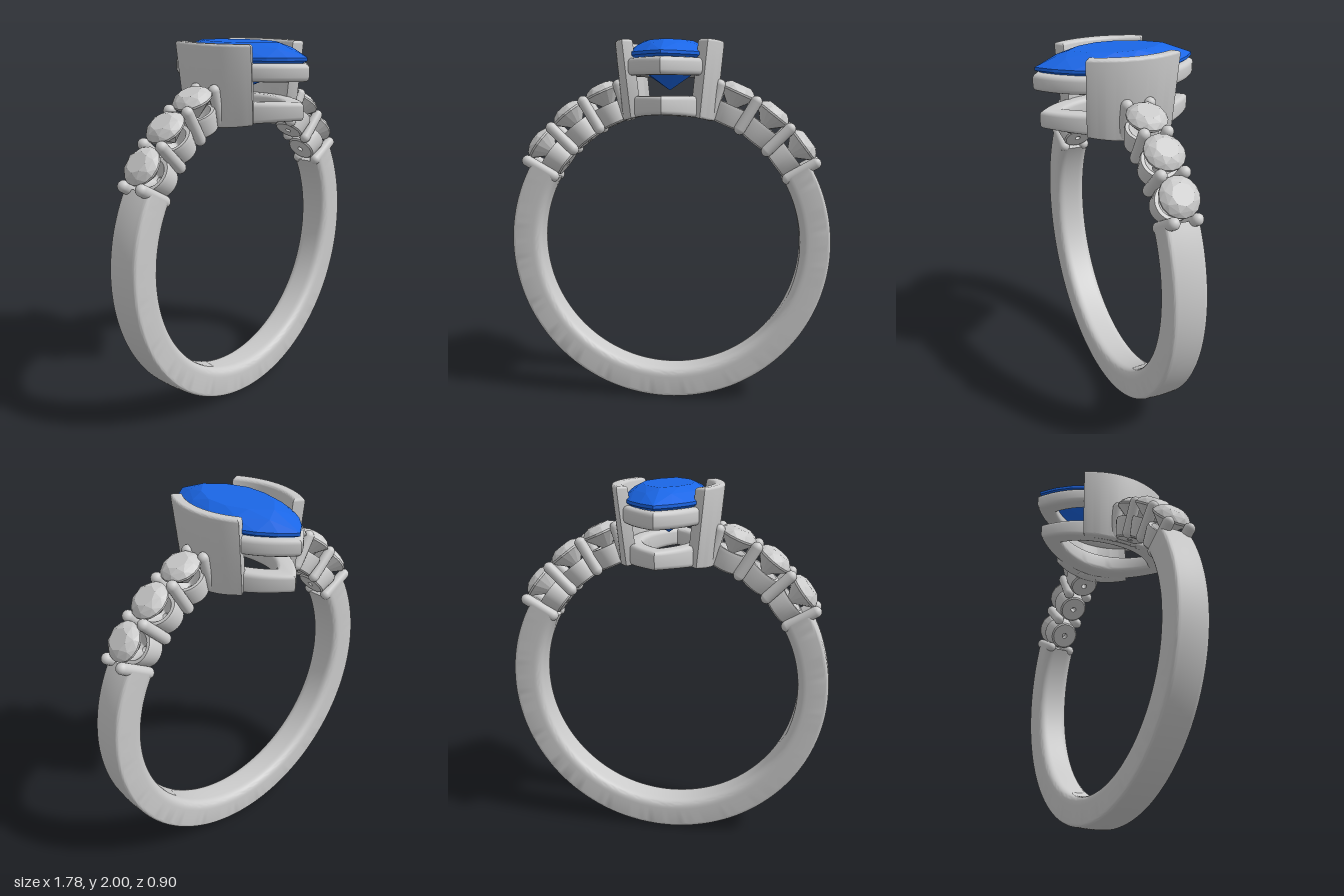
import * as THREE from 'three';
import { toCreasedNormals } from 'three/addons/utils/BufferGeometryUtils.js';
import { ConvexGeometry } from 'three/addons/geometries/ConvexGeometry.js';

const CENTRE = 0.895, INNER = 0.722, OUTER = 0.89;
const rad = THREE.MathUtils.degToRad;

// Outline of two mirrored arcs: a pointed oval, or a circle when w equals l
function lensPoints(w, l, n, phase = 0) {
  const r = (w * w + l * l) / (2 * w);
  const a = Math.asin(Math.min(1, l / r));
  const half = [];
  for (let i = 0; i < n; i++) {
    const t = a * (-1 + 2 * (i + phase) / n);
    half.push(new THREE.Vector2(r * Math.cos(t) - (r - w), r * Math.sin(t)));
  }
  return half.concat(half.map(p => p.clone().negate()));
}

// Faceted stone: hull of stacked rings [scale, height, points per half, phase]
function stone(w, l, rings, culet) {
  const pts = [new THREE.Vector3(0, culet, 0)];
  for (const [s, y, n, phase] of rings)
    for (const p of lensPoints(w * s, l * s, n, phase)) pts.push(new THREE.Vector3(p.x, y, p.y));
  return new ConvexGeometry(pts);
}

// Upright solid from a plan outline, with soft edges
function slab(shape, y0, y1, bevel) {
  const geo = new THREE.ExtrudeGeometry(shape, {
    depth: y1 - y0 - 2 * bevel, curveSegments: 20,
    bevelSize: bevel, bevelThickness: bevel, bevelOffset: -bevel, bevelSegments: 4,
  });
  return geo.rotateX(-Math.PI / 2).translate(0, y0 + bevel, 0);
}

// Move the underside onto the finger circle, keeping the top level
function fitToFinger(geo, y0, y1) {
  const p = geo.attributes.position;
  for (let i = 0; i < p.count; i++) {
    const k = (y1 - p.getY(i)) / (y1 - y0);
    const floor = CENTRE + Math.sqrt(INNER * INNER - p.getX(i) ** 2);
    p.setY(i, y1 + (floor - y1) * k);
  }
  return geo;
}

export function createModel() {
  const ring = new THREE.Group();
  ring.name = 'ring';
  const metal = new THREE.MeshStandardMaterial({ color: 0xcccccc });
  const thin = new THREE.MeshStandardMaterial({ color: 0xcccccc, side: THREE.DoubleSide });
  const blue = new THREE.MeshStandardMaterial({ color: 0x1a66e6 });
  const add = (parent, name, geo, mat = metal) => {
    const mesh = new THREE.Mesh(geo, mat);
    mesh.name = name;
    parent.add(mesh);
    return mesh;
  };

  // Band: rounded section swept around the finger, open at the top
  const h = 0.093, ro = 0.025, ri = 0.05;
  const section = new THREE.Shape();
  section.moveTo(INNER + ri, -h);
  section.lineTo(OUTER - ro, -h);
  section.quadraticCurveTo(OUTER - 0.003, -h, OUTER - 0.003, -h + ro);
  section.quadraticCurveTo(OUTER + 0.003, 0, OUTER - 0.003, h - ro);
  section.quadraticCurveTo(OUTER - 0.003, h, OUTER - ro, h);
  section.lineTo(INNER + ri, h);
  section.quadraticCurveTo(INNER, h, INNER, h - ri);
  section.lineTo(INNER, -h + ri);
  section.quadraticCurveTo(INNER, -h, INNER + ri, -h);
  const bandGeo = new THREE.LatheGeometry(section.getPoints(8), 120, -rad(120), rad(240));
  add(ring, 'band', toCreasedNormals(bandGeo.rotateX(Math.PI / 2), 0.7)).position.y = CENTRE;
  for (const angle of [30, 150]) {
    const cap = new THREE.ShapeGeometry(section, 8).rotateX(Math.PI / 2).rotateZ(rad(angle));
    add(ring, 'bandEnd', cap, thin).position.y = CENTRE;
  }

  // Shoulders: prong pairs with a small stone and cup between each
  const prongGeo = new THREE.CapsuleGeometry(0.031, 0.17, 6, 16).translate(0, 0.831, 0);
  const smallStone = stone(0.105, 0.105, [
    [1, 0.908, 8, 0], [1, 0.918, 8, 0], [0.82, 0.942, 4, 0.5], [0.55, 0.958, 4, 0], [0.5, 0.862, 4, 0.5],
  ], 0.805);
  const cupProfile = [
    [0.016, 0.724], [0.074, 0.724], [0.082, 0.732], [0.097, 0.82], [0.094, 0.838],
    [0.075, 0.838], [0.016, 0.77], [0.016, 0.724],
  ].map(p => new THREE.Vector2(...p));
  const cupGeo = toCreasedNormals(new THREE.LatheGeometry(cupProfile, 32), 0.6);
  for (const side of [-1, 1]) {
    const shoulder = new THREE.Group();
    shoulder.name = side > 0 ? 'leftShoulder' : 'rightShoulder';
    shoulder.position.y = CENTRE;
    ring.add(shoulder);
    for (const angle of [30, 44.5, 59, 72.5])
      for (const z of [-0.062, 0.062]) {
        const prong = add(shoulder, 'prong', prongGeo);
        prong.position.z = z;
        prong.rotation.z = side * rad(angle - 90);
      }
    for (const angle of [37.3, 51.8, 66]) {
      const seat = new THREE.Group();
      seat.name = 'stoneSetting';
      seat.rotation.z = side * rad(angle - 90);
      shoulder.add(seat);
      add(seat, 'cup', cupGeo);
      add(seat, 'smallStone', smallStone);
    }
  }

  // Head: two pointed-oval rails
  const rail = (w, l, wHole, lHole) => {
    const s = new THREE.Shape(lensPoints(w, l, 24));
    s.holes.push(new THREE.Path(lensPoints(wHole, lHole, 24).reverse()));
    return s;
  };
  add(ring, 'upperRail', toCreasedNormals(slab(rail(0.25, 0.45, 0.17, 0.33), 1.815, 1.905, 0.025), 0.6));
  const lower = fitToFinger(slab(rail(0.215, 0.42, 0.13, 0.29), 1.62, 1.71, 0.02), 1.62, 1.71);
  add(ring, 'lowerRail', toCreasedNormals(lower, 0.6));

  // Curved side walls that lean outward and grip the main stone
  const a = 0.56, cx = -0.185;
  const plan = new THREE.Shape();
  plan.absarc(cx, 0, 0.48, -a, a, false);
  plan.absarc(cx, 0, 0.42, a, -a, true);
  const wallGeo = slab(plan, 1.6, 2, 0.014);
  const p = wallGeo.attributes.position;
  for (let i = 0; i < p.count; i++) {
    const k = (2 - p.getY(i)) / 0.4;
    p.setX(i, p.getX(i) - 0.042 * k);
    p.setZ(i, p.getZ(i) * (1 - 0.07 * k));
  }
  const wall = toCreasedNormals(fitToFinger(wallGeo, 1.6, 2), 0.6);
  add(ring, 'leftWall', wall);
  add(ring, 'rightWall', wall).rotation.y = Math.PI;

  // Main pointed-oval stone
  add(ring, 'mainStone', stone(0.23, 0.437, [
    [1, 1.918, 10, 0], [1, 1.934, 10, 0], [0.8, 1.975, 5, 0.5], [0.6, 2, 5, 0], [0.52, 1.822, 5, 0.5],
  ], 1.74), blue);

  return ring;
}
